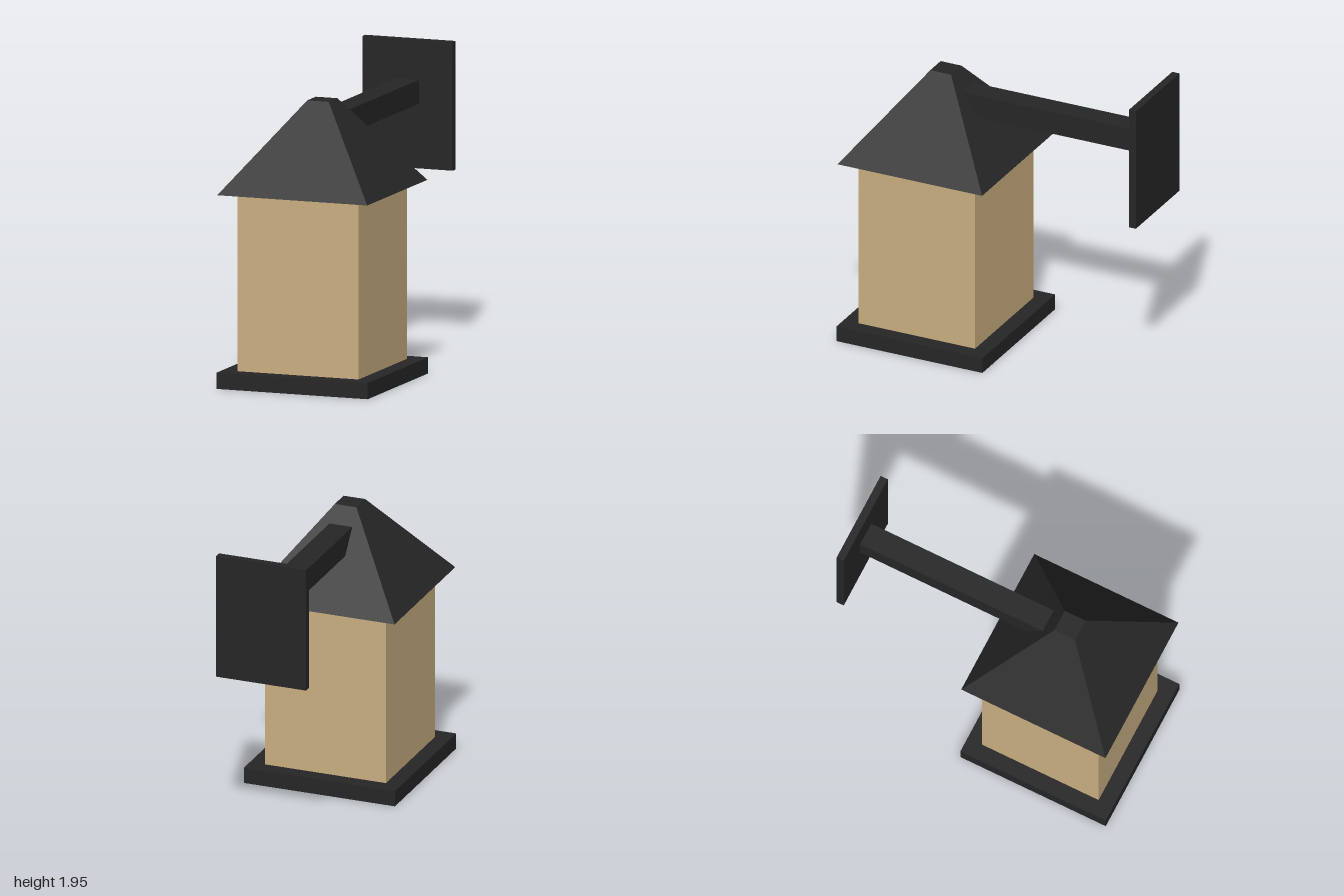
import * as THREE from 'three';

export function createModel() {
  const model = new THREE.Group();
  model.name = 'wallLantern';

  const iron = new THREE.MeshStandardMaterial({ color: 0x262626 });
  iron.name = 'dark iron';
  const glass = new THREE.MeshStandardMaterial({ color: 0xcaaf82 });
  glass.name = 'warm glass';

  const lampZ = 0.488; // centre of the lantern, in front of the wall

  function add(name, geometry, material, y, z) {
    const mesh = new THREE.Mesh(geometry, material);
    mesh.name = name;
    mesh.position.set(0, y, z);
    model.add(mesh);
  }

  // Box given by its width and its y and z ranges
  function addBox(name, material, width, [y0, y1], [z0, z1]) {
    const geometry = new THREE.BoxGeometry(width, y1 - y0, z1 - z0);
    add(name, geometry, material, (y0 + y1) / 2, (z0 + z1) / 2);
  }

  // Lantern tray and glowing body
  addBox('base', iron, 1.024, [0, 0.103], [lampZ - 0.512, lampZ + 0.512]);
  addBox('lampBody', glass, 0.82, [0.103, 1.235], [lampZ - 0.41, lampZ + 0.41]);

  // Truncated pyramid roof: four-sided cylinder turned square to the axes
  const roofBottom = 1.235, roofTop = 1.798;
  const roof = new THREE.CylinderGeometry(
    0.073 * Math.SQRT2, 0.508 * Math.SQRT2, roofTop - roofBottom, 4
  ).rotateY(Math.PI / 4).toNonIndexed();
  roof.computeVertexNormals();
  add('roof', roof, iron, (roofBottom + roofTop) / 2, lampZ);

  // Arm runs from the wall plate into the roof
  addBox('arm', iron, 0.154, [1.542, 1.695], [-0.95, lampZ]);
  addBox('wallPlate', iron, 0.612, [1.13, 1.95], [-1, -0.95]);

  return model;
}
